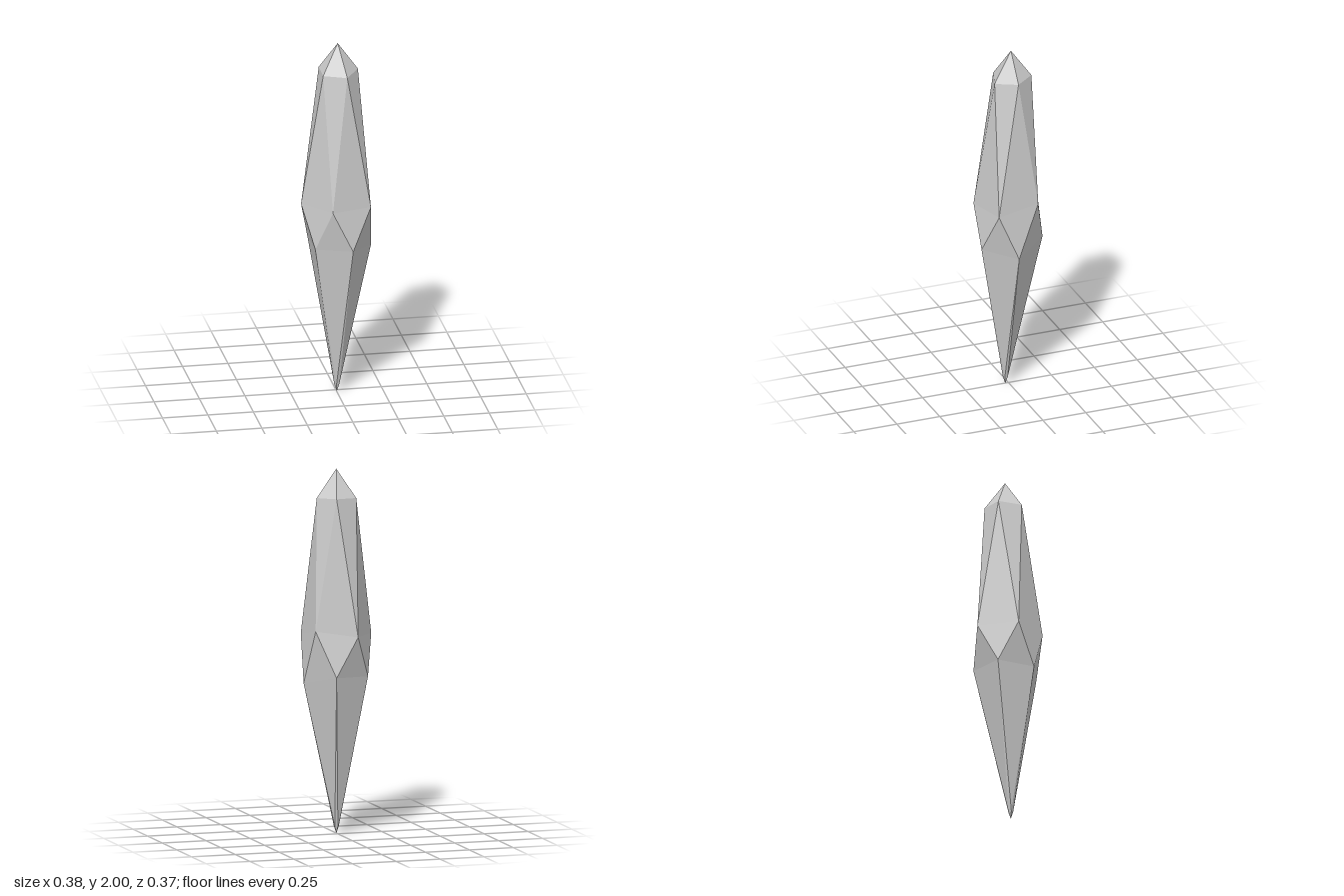
import * as THREE from 'three';

// Irregular five-sided rings, from crown to tip; every other ring is turned half a step.
const crown = [[0.123, 1.845, -0.01], [0.045, 1.835, 0.098], [-0.08, 1.84, 0.056], [-0.08, 1.845, -0.076], [0.045, 1.85, -0.116]];
const shoulder = [[0.17, 1.09, 0.122], [-0.05, 1.09, 0.183], [-0.192, 1.09, 0.004], [-0.054, 1.1, -0.187], [0.162, 1.13, -0.109]];
const belt = [[0.19, 0.83, 0.013], [0.062, 0.86, 0.181], [-0.133, 0.86, 0.109], [-0.14, 0.87, -0.097], [0.064, 0.88, -0.173]];
const foot = Array.from({ length: 5 }, (_, i) => {
  const a = (i + 0.5) * Math.PI * 2 / 5;
  return [0.002 + 0.014 * Math.cos(a), 0.04, 0.018 + 0.014 * Math.sin(a)];
});
const apex = [0.012, 2, -0.01];
const tip = [0.002, 0, 0.019];

export function createModel() {
  const positions = [];
  const face = (...corners) => corners.forEach((c) => positions.push(...c));

  // Zigzag band of triangles between two rings
  const band = (upper, lower, lowerTurned) => {
    for (let i = 0; i < 5; i++) {
      const j = (i + 1) % 5;
      if (lowerTurned) {
        face(upper[i], upper[j], lower[i]);
        face(lower[i], upper[j], lower[j]);
      } else {
        face(lower[i], upper[i], lower[j]);
        face(upper[i], upper[j], lower[j]);
      }
    }
  };

  band(crown, shoulder, true);
  band(shoulder, belt, false);
  band(belt, foot, true);

  // Pointed ends
  for (let i = 0; i < 5; i++) {
    const j = (i + 1) % 5;
    face(crown[i], apex, crown[j]);
    face(foot[i], foot[j], tip);
  }

  const geometry = new THREE.BufferGeometry();
  geometry.setAttribute('position', new THREE.Float32BufferAttribute(positions, 3));
  geometry.computeVertexNormals();

  const crystal = new THREE.Mesh(geometry, new THREE.MeshStandardMaterial({ color: 0xcccccc, flatShading: true }));
  crystal.name = 'crystalShard';
  const group = new THREE.Group();
  group.name = 'crystal';
  group.add(crystal);
  return group;
}
